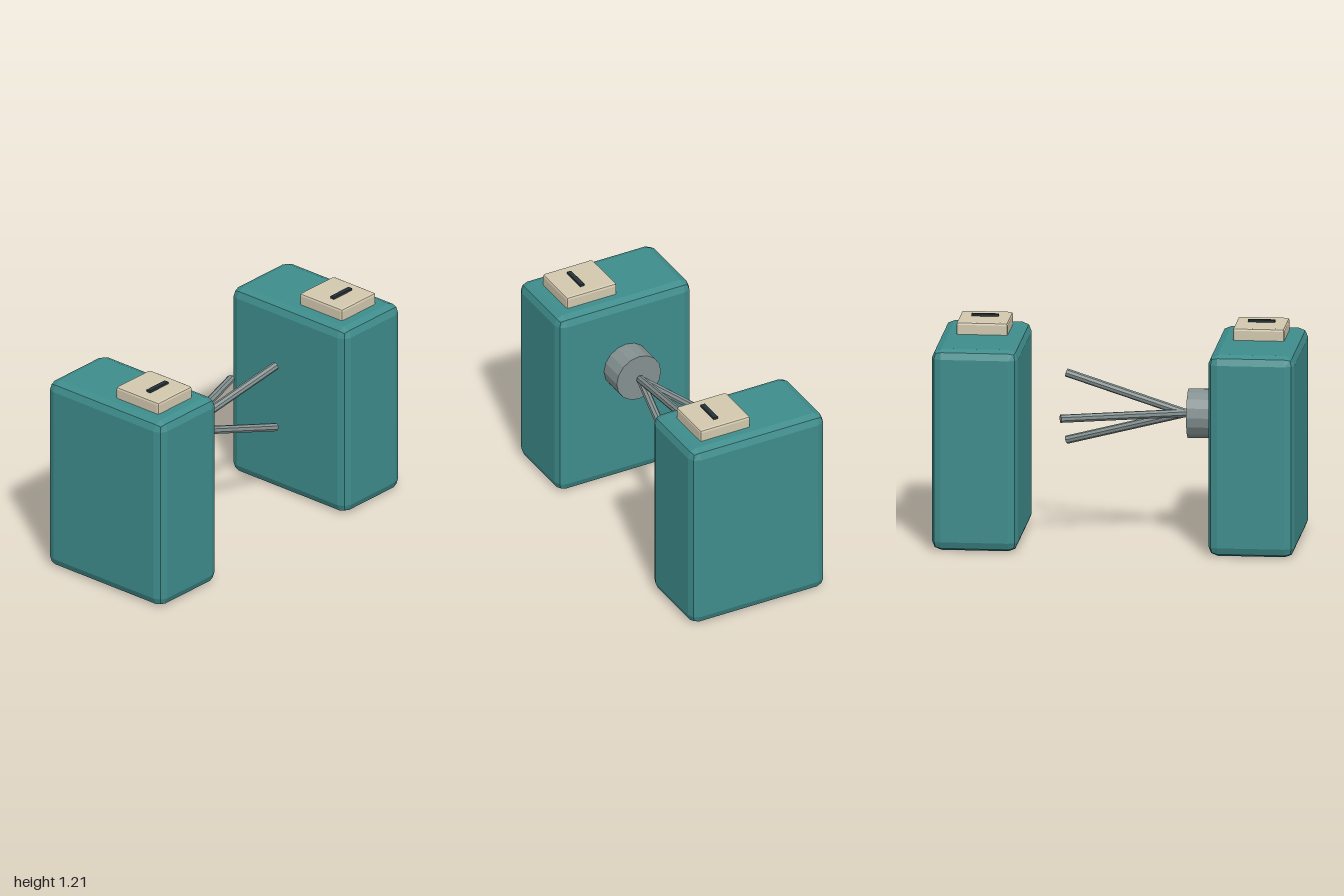
import * as THREE from 'three';
import { RoundedBoxGeometry } from 'three/addons/geometries/RoundedBoxGeometry.js';

const paint = (color) => new THREE.MeshStandardMaterial({ color, flatShading: true });

export function createModel() {
  const group = new THREE.Group();
  const teal = paint(0x3f8c8c);
  const cream = paint(0xd2c8ae);
  const dark = paint(0x263238);
  const steel = paint(0x849090);

  const add = (parent, name, geometry, material, x, y, z) => {
    const mesh = new THREE.Mesh(geometry, material);
    mesh.name = name;
    mesh.position.set(x, y, z);
    parent.add(mesh);
    return mesh;
  };

  // Two cabinets, each with a card reader on top
  for (const side of [-1, 1]) {
    const cabinet = new THREE.Group();
    cabinet.name = side < 0 ? 'rightCabinet' : 'leftCabinet';
    cabinet.position.x = side * 0.762;
    group.add(cabinet);
    add(cabinet, 'cabinetBody', new RoundedBoxGeometry(0.476, 1.13, 0.84, 1, 0.053), teal, 0, 0.565, 0);
    add(cabinet, 'cardReader', new RoundedBoxGeometry(0.284, 0.09, 0.313, 1, 0.014), cream, 0, 1.152, 0.16);
    add(cabinet, 'cardSlot', new THREE.BoxGeometry(0.15, 0.03, 0.026), dark, 0, 1.195, 0.185);
  }

  // Hub on the inner face of the right cabinet
  const axisY = 0.717;
  const hub = add(group, 'hub', new THREE.CylinderGeometry(0.138, 0.138, 0.16, 16), steel, -0.458, axisY, 0);
  hub.rotation.z = Math.PI / 2;

  // Three arms spreading evenly around the hub axis
  const start = new THREE.Vector3(-0.36, axisY, 0);
  const up = new THREE.Vector3(0, 1, 0);
  for (let i = 0; i < 3; i++) {
    const a = (i * Math.PI * 2) / 3;
    const end = new THREE.Vector3(0.306, axisY + 0.218 * Math.sin(a), -0.218 * Math.cos(a));
    const span = end.clone().sub(start);
    const mid = start.clone().add(end).multiplyScalar(0.5);
    const arm = add(group, `arm${i + 1}`, new THREE.CylinderGeometry(0.023, 0.023, span.length(), 8),
      steel, mid.x, mid.y, mid.z);
    arm.quaternion.setFromUnitVectors(up, span.normalize());
  }

  return group;
}
